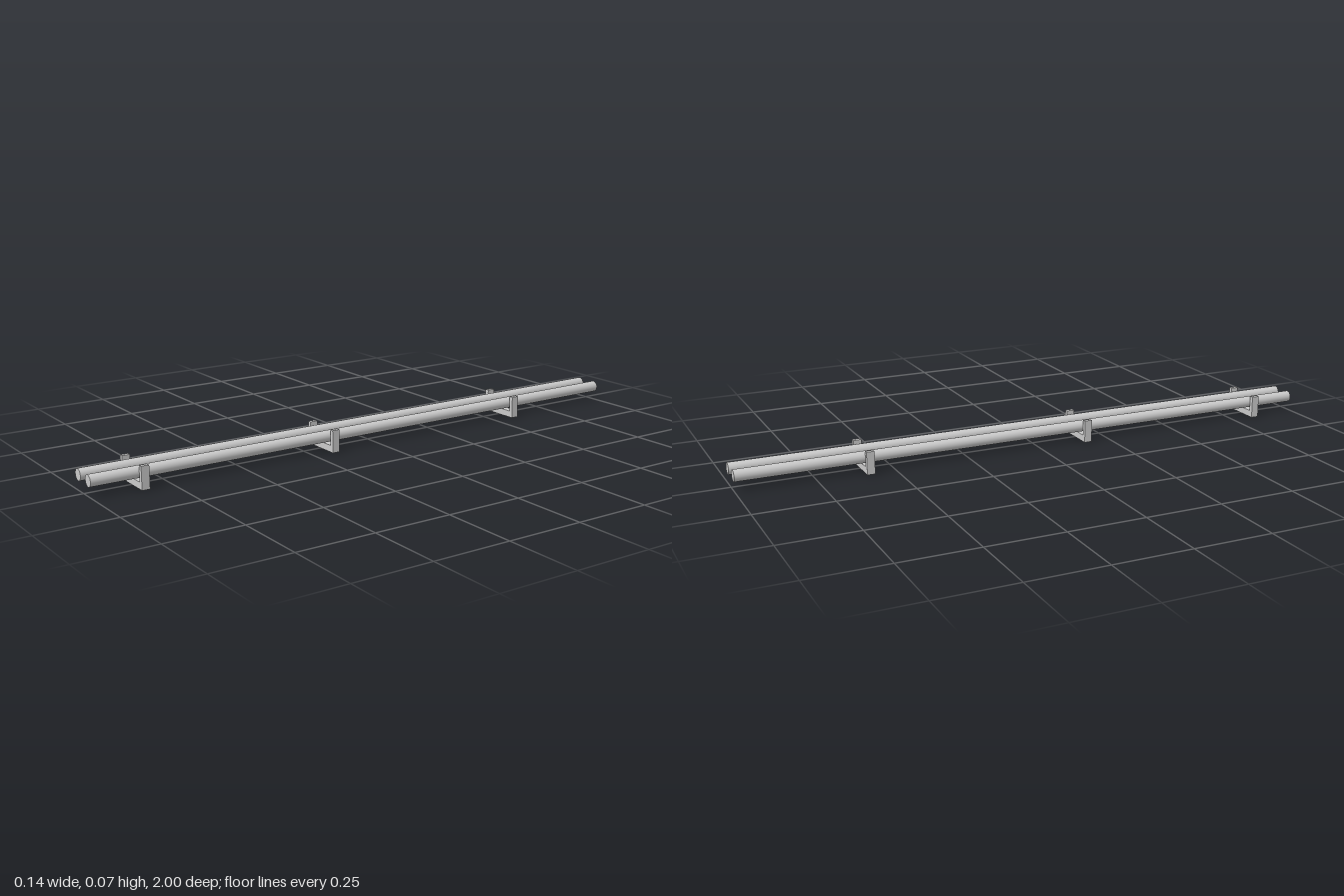
import * as THREE from 'three';

const material = new THREE.MeshStandardMaterial({ color: 0xcccccc });

// U-shaped support, extruded along z and centred on its own origin
function createBracketGeometry() {
  const halfWidth = 0.072, inner = 0.058, height = 0.074, base = 0.022, depth = 0.026;
  const outline = [
    [-halfWidth, 0], [halfWidth, 0], [halfWidth, height], [inner, height],
    [inner, base], [-inner, base], [-inner, height], [-halfWidth, height],
  ].map(([x, y]) => new THREE.Vector2(x, y));
  return new THREE.ExtrudeGeometry(new THREE.Shape(outline), { depth, bevelEnabled: false })
    .translate(0, 0, -depth / 2);
}

export function createModel() {
  const model = new THREE.Group();
  model.name = 'pipeRack';

  // Two parallel pipes running the full length
  const pipeGeometry = new THREE.CylinderGeometry(0.019, 0.019, 2, 32).rotateX(Math.PI / 2);
  for (const side of [1, -1]) {
    const pipe = new THREE.Mesh(pipeGeometry, material);
    pipe.name = side > 0 ? 'leftPipe' : 'rightPipe';
    pipe.position.set(side * 0.036, 0.048, 0);
    model.add(pipe);
  }

  // Supports, unevenly spaced along the pipes
  const bracketGeometry = createBracketGeometry();
  const places = { frontBracket: 0.837, middleBracket: 0.172, rearBracket: -0.583 };
  for (const [name, z] of Object.entries(places)) {
    const bracket = new THREE.Mesh(bracketGeometry, material);
    bracket.name = name;
    bracket.position.z = z;
    model.add(bracket);
  }

  return model;
}
